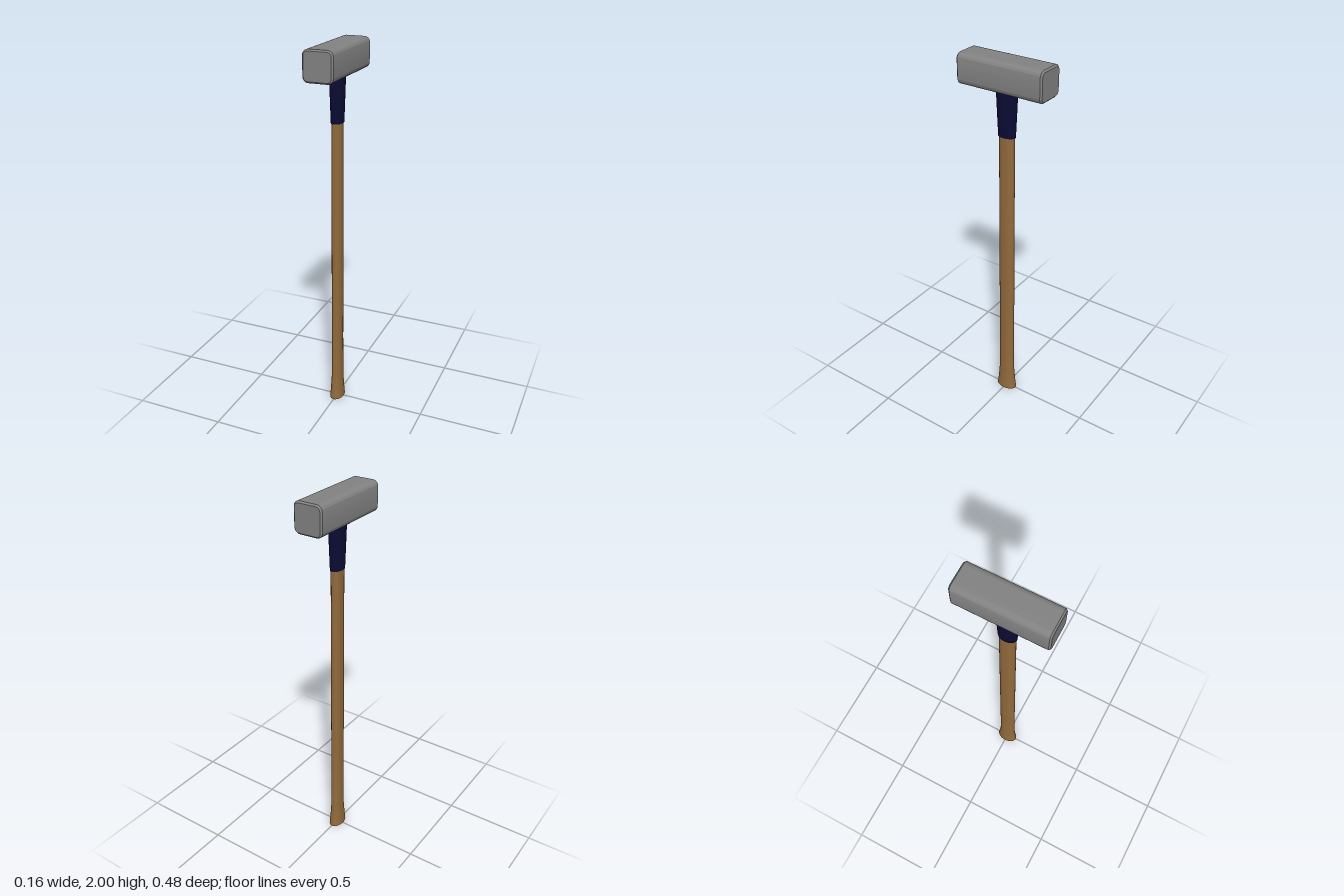
import * as THREE from 'three';
import { toCreasedNormals } from 'three/addons/utils/BufferGeometryUtils.js';

const wood = new THREE.MeshStandardMaterial({ name: 'wood', color: 0x916a3c });
const steel = new THREE.MeshStandardMaterial({ name: 'steel', color: 0x828282 });
const navy = new THREE.MeshStandardMaterial({ name: 'navy', color: 0x0b0b34 });

// Upright oval shaft from [depth radius, height] pairs, closed at both ends
function ovalShaft(name, profile, material) {
  const points = [[0, profile[0][1]], ...profile, [0, profile.at(-1)[1]]]
    .map(([r, y]) => new THREE.Vector2(r, y));
  const geometry = new THREE.LatheGeometry(points, 32);
  geometry.scale(0.64, 1, 1);
  const mesh = new THREE.Mesh(toCreasedNormals(geometry, 0.6), material);
  mesh.name = name;
  return mesh;
}

// Rounded square bar along z with chamfered striking faces
function hammerHead() {
  const half = 0.078, height = 0.155, length = 0.476, chamfer = 0.008, radius = 0.022;
  const w = half - chamfer, h = height / 2 - chamfer;
  const s = new THREE.Shape();
  s.absarc(w - radius, h - radius, radius, 0, Math.PI / 2);
  s.absarc(-w + radius, h - radius, radius, Math.PI / 2, Math.PI);
  s.absarc(-w + radius, -h + radius, radius, Math.PI, Math.PI * 1.5);
  s.absarc(w - radius, -h + radius, radius, Math.PI * 1.5, Math.PI * 2);
  s.closePath();
  const depth = length - 2 * chamfer;
  const geometry = new THREE.ExtrudeGeometry(s, {
    depth, bevelEnabled: true, bevelSize: chamfer, bevelThickness: chamfer,
    bevelSegments: 1, curveSegments: 8,
  });
  geometry.translate(0, 2 - height / 2, -depth / 2);
  const mesh = new THREE.Mesh(toCreasedNormals(geometry, 0.5), steel);
  mesh.name = 'hammerHead';
  return mesh;
}

export function createModel() {
  const group = new THREE.Group();
  group.name = 'sledgehammer';
  group.add(
    // Handle flares out at the foot
    ovalShaft('handle', [[0.06, 0], [0.054, 0.05], [0.047, 0.13], [0.045, 0.38], [0.043, 1.62]], wood),
    // Tapered guard below the head
    ovalShaft('collar', [[0.048, 1.61], [0.058, 1.83], [0.058, 1.86]], navy),
    hammerHead(),
  );
  return group;
}
